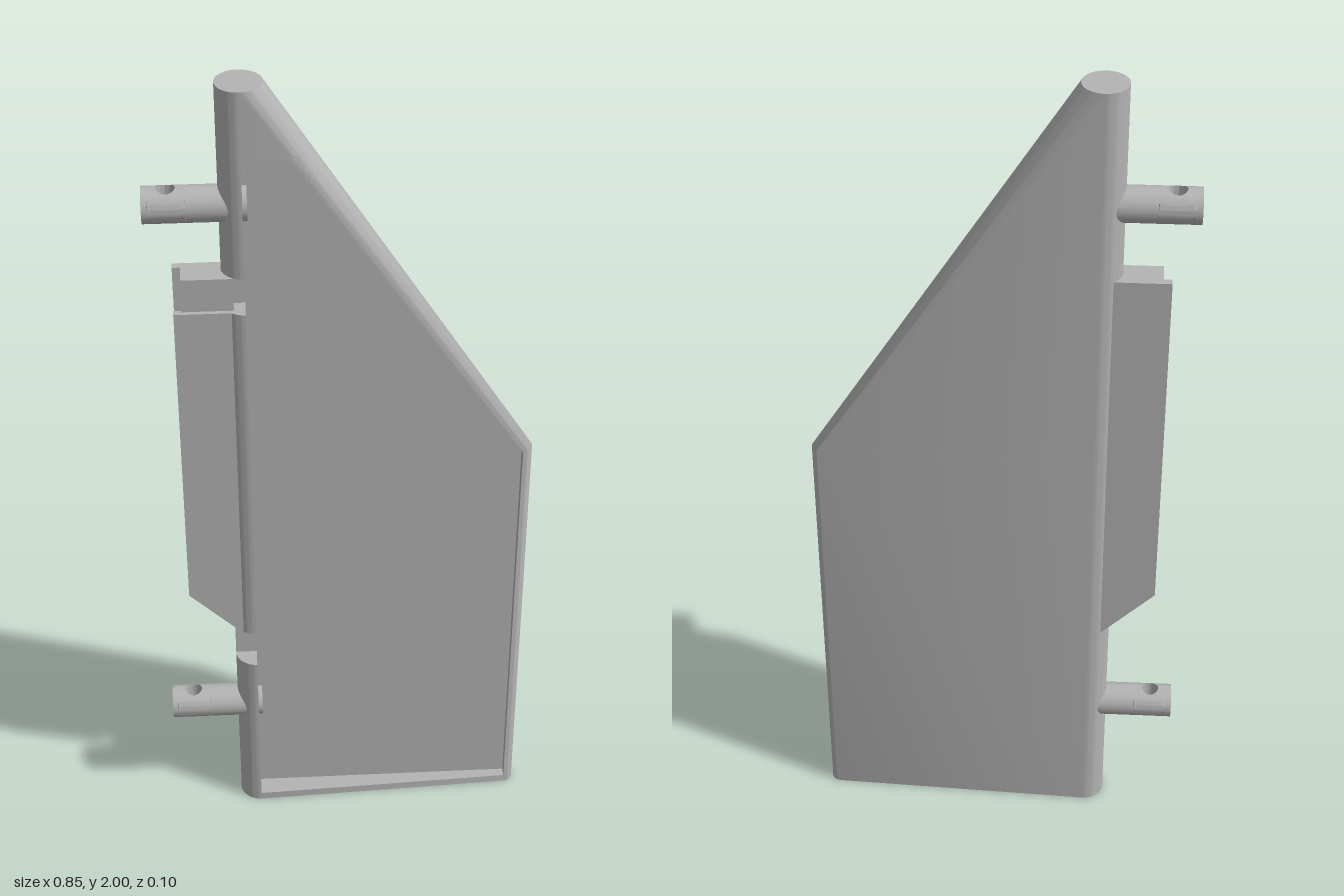
import * as THREE from 'three';
import { toCreasedNormals } from 'three/addons/utils/BufferGeometryUtils.js';

const grey = new THREE.MeshStandardMaterial({ color: 0xb4b4b4 });
grey.name = 'plain grey';

const LEAD_X = -0.22, TRAIL_X = 0.4, LEAD_R = 0.05, TRAIL_R = 0.023;
const KNEE_Y = 1.06, TOP_Y = 2;

// Joins closed rings of points into one solid, facing outward
function skin(rings, capped = true) {
  const tris = [];
  const n = rings[0].length;
  for (let r = 0; r + 1 < rings.length; r++) {
    for (let i = 0; i < n; i++) {
      const j = (i + 1) % n, a = rings[r], b = rings[r + 1];
      tris.push([a[i], b[i], b[j]], [a[i], b[j], a[j]]);
    }
  }
  if (capped) {
    const first = rings[0], last = rings[rings.length - 1];
    for (let i = 1; i + 1 < n; i++) {
      tris.push([first[0], first[i], first[i + 1]], [last[0], last[i + 1], last[i]]);
    }
  }
  let volume = 0;
  const cross = new THREE.Vector3();
  for (const [a, b, c] of tris) volume += a.dot(cross.crossVectors(b, c));
  const points = tris.flatMap(([a, b, c]) => (volume < 0 ? [a, c, b] : [a, b, c]));
  return toCreasedNormals(new THREE.BufferGeometry().setFromPoints(points), 0.6);
}

// Fin thickness and rounded trailing edge
const halfThick = (x) => LEAD_R + (TRAIL_R - LEAD_R) * (x - LEAD_X) / (TRAIL_X - LEAD_X);
const trailCentre = (y) => y <= KNEE_Y ? TRAIL_X
  : TRAIL_X + (LEAD_X - TRAIL_X) * (y - KNEE_Y) / (TOP_Y - KNEE_Y);

function arc(x, y, radius, from, to, side = 1) {
  return Array.from({ length: 13 }, (_, i) => {
    const a = from + (to - from) * i / 12;
    return new THREE.Vector3(x + radius * Math.cos(a), y, side * radius * Math.sin(a));
  });
}
const leadArc = (y, side) => arc(LEAD_X, y, LEAD_R, Math.PI, Math.PI / 2, side);
const trailArc = (y, side) => {
  const x = trailCentre(y);
  return arc(x, y, halfThick(x), Math.PI / 2, 0, side);
};
const halfSection = (y, side) => [...leadArc(y, side), ...trailArc(y, side)];

// Pocket outline: straight sides closed by a round top
const POCKET = { x: -0.16, y: 1.79, r: 0.06, floor: 0.02, top: 1.85, tanX: -0.11, tanY: 1.823, kneeY: 1.055 };
const pocketArc = (y) => Math.sqrt(Math.max(0, POCKET.r ** 2 - (y - POCKET.y) ** 2));
const pocketLeft = (y) => y <= POCKET.y ? LEAD_X : POCKET.x - pocketArc(y);
function pocketRight(y) {
  if (y <= POCKET.kneeY) return TRAIL_X;
  if (y > POCKET.tanY) return POCKET.x + pocketArc(y);
  const k = (y - POCKET.kneeY) / (POCKET.tanY - POCKET.kneeY);
  return TRAIL_X + (POCKET.tanX - TRAIL_X) * k;
}
const wall = (x, y) => [new THREE.Vector3(x, y, halfThick(x)), new THREE.Vector3(x, y, 0)];
const leadRim = (y) => [...leadArc(y, 1), ...wall(pocketLeft(y), y)];
const trailRim = (y) => [...trailArc(y, 1), ...wall(Math.min(pocketRight(y), trailCentre(y)), y).reverse()];

// Pin segment with a vertical round hole through it
function drilledSegment(cx, cy, radius, hole) {
  const rings = [];
  const steps = 8;
  for (let i = 0; i <= 48; i++) {
    const a = i / 48 * Math.PI * 2, c = Math.cos(a), s = Math.sin(a);
    const reach = radius / Math.max(Math.abs(c), Math.abs(s));
    const top = [], bottom = [];
    for (let k = 0; k <= steps; k++) {
      const d = hole + (reach - hole) * Math.sin(k / steps * Math.PI / 2);
      const h = Math.sqrt(Math.max(0, radius ** 2 - (d * s) ** 2));
      top.push(new THREE.Vector3(cx + d * c, cy + h, d * s));
      bottom.unshift(new THREE.Vector3(cx + d * c, cy - h, d * s));
    }
    rings.push([...top, ...bottom]);
  }
  return skin(rings, false);
}

function slab(points, z0, z1) {
  const shape = new THREE.Shape(points.map(([x, y]) => new THREE.Vector2(x, y)));
  return new THREE.ExtrudeGeometry(shape, { depth: z1 - z0, bevelEnabled: false }).translate(0, 0, z0);
}

export function createModel() {
  const model = new THREE.Group();
  model.name = 'finPanel';
  const add = (name, geometry, parent = model) => {
    const mesh = new THREE.Mesh(geometry, grey);
    mesh.name = name;
    parent.add(mesh);
    return mesh;
  };

  // Fin body: solid back, with a rim around the open front pocket
  add('finBack', skin([0, KNEE_Y, TOP_Y].map((y) => halfSection(y, -1))));
  add('bottomRim', skin([0, POCKET.floor].map((y) => halfSection(y, 1))));
  add('topCap', skin([POCKET.top, TOP_Y].map((y) => halfSection(y, 1))));

  const curveYs = Array.from({ length: 13 }, (_, i) => POCKET.y + POCKET.r * Math.sin(i / 12 * Math.PI / 2));
  const trailYs = [POCKET.floor, POCKET.kneeY, KNEE_Y, POCKET.tanY, ...curveYs].sort((a, b) => a - b);
  add('trailingRim', skin(trailYs.map(trailRim)));

  // Leading rim, broken by two notches
  const spans = [[POCKET.floor, 0.46], [0.56, 1.47], [1.56, ...curveYs]];
  for (const ys of spans) add('leadingRim', skin(ys.map(leadRim)));

  // Hinge pins
  for (const y of [0.305, 1.72]) {
    const pin = new THREE.Group();
    pin.name = 'hingePin';
    for (const [x0, x1] of [[-0.43, -0.418], [-0.338, -0.21]]) {
      const rod = new THREE.CylinderGeometry(0.04, 0.04, x1 - x0, 32).rotateZ(Math.PI / 2);
      add('pinRod', rod.translate((x0 + x1) / 2, y, 0), pin);
    }
    add('drilledPinSection', drilledSegment(-0.378, y, 0.04, 0.02), pin);
    model.add(pin);
  }

  // Grooved edge tab between the pins
  const tabOutline = (x0, x1, top) => [[x0, 0.305 - x0], [x1, 0.305 - x1], [x1, top], [x0, top]];
  add('tabCore', slab(tabOutline(-0.357, -0.245, 1.55), -0.03, 0.03));
  add('tabBackPlate', slab(tabOutline(-0.375, -0.25, 1.55), -0.04, -0.022));
  add('tabFrontPlate', slab(tabOutline(-0.375, -0.25, 1.47), 0.024, 0.04));

  return model;
}
